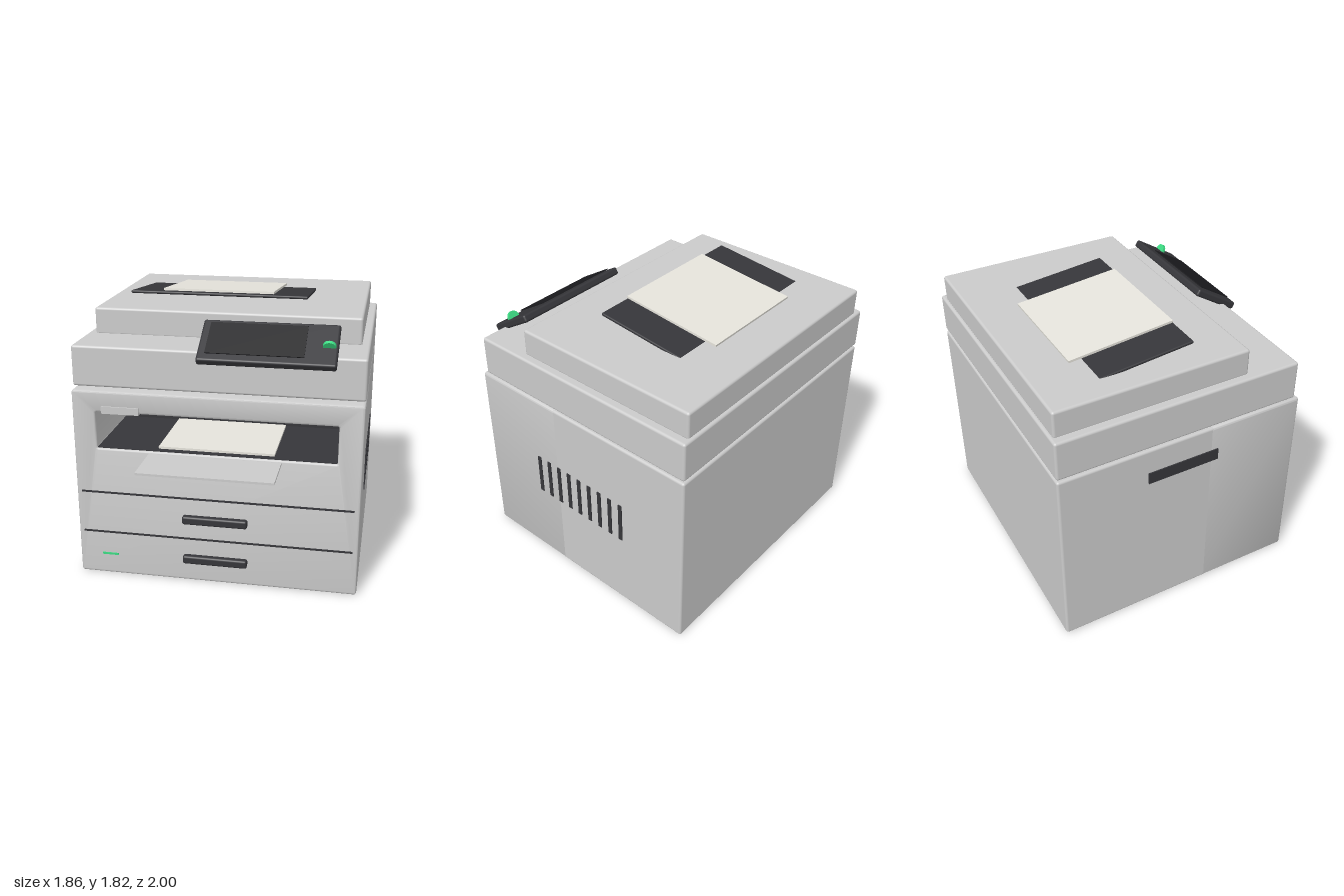
import * as THREE from 'three';
import { toCreasedNormals } from 'three/addons/utils/BufferGeometryUtils.js';
import { RoundedBoxGeometry } from 'three/addons/geometries/RoundedBoxGeometry.js';

const mat = (color) => new THREE.MeshStandardMaterial({ color });

export function createModel() {
  const model = new THREE.Group();
  const grey = mat(0xcccccc), dark = mat(0x36363a), black = mat(0x1c1c1f);
  const paper = mat(0xe6e4dc), green = mat(0x3ddc84);

  const add = (name, geometry, material, x, y, z, parent = model) => {
    const mesh = new THREE.Mesh(geometry, material);
    mesh.name = name;
    mesh.position.set(x, y, z);
    parent.add(mesh);
    return mesh;
  };
  // Box given by its limits on each axis; r rounds the edges
  const box = (name, material, [x0, x1], [y0, y1], [z0, z1], r = 0, parent = model) => {
    const size = [x1 - x0, y1 - y0, z1 - z0];
    const geometry = r ? new RoundedBoxGeometry(...size, 3, r) : new THREE.BoxGeometry(...size);
    return add(name, geometry, material, (x0 + x1) / 2, (y0 + y1) / 2, (z0 + z1) / 2, parent);
  };
  // Rectangle with rounded corners, traced on a Shape or a Path
  const roundRect = (path, x0, x1, y0, y1, r) => {
    path.absarc(x1 - r, y1 - r, r, 0, Math.PI / 2);
    path.absarc(x0 + r, y1 - r, r, Math.PI / 2, Math.PI);
    path.absarc(x0 + r, y0 + r, r, Math.PI, Math.PI * 1.5);
    path.absarc(x1 - r, y0 + r, r, Math.PI * 1.5, Math.PI * 2);
    path.closePath();
    return path;
  };

  // Cabinet: a front frame around the output bay, overlapping a solid rear block
  const bevel = 0.014;
  const frame = roundRect(new THREE.Shape(), -0.925, 0.925, 0, 1.285, 0.018);
  frame.holes.push(roundRect(new THREE.Path(), -0.772, 0.772, 0.9, 1.145, 0.01));
  const frameGeometry = new THREE.ExtrudeGeometry(frame, {
    depth: 0.68 - 2 * bevel, bevelThickness: bevel, bevelSize: bevel,
    bevelOffset: -bevel, bevelSegments: 3, curveSegments: 4,
  });
  add('cabinetFront', toCreasedNormals(frameGeometry, 0.6), grey, 0, 0, bevel);
  box('cabinetRear', grey, [-0.925, 0.925], [0, 1.285], [-1, 0.05], 0.016);

  // Output bay lining and its sheets
  box('bayFloor', dark, [-0.772, 0.772], [0.895, 0.905], [0.05, 0.668]);
  box('bayBack', dark, [-0.772, 0.772], [0.9, 1.145], [0.05, 0.06]);
  box('printedSheets', paper, [-0.375, 0.375], [0.905, 0.92], [0.08, 0.63]);
  box('outputTray', grey, [-0.428, 0.425], [0.872, 0.886], [0.6, 1]);
  box('bayTab', grey, [-0.73, -0.485], [1.14, 1.187], [0.64, 0.69]);

  // Paper drawers: seam above each and a pull handle
  for (const [seam, handle] of [[0.592, 0.448], [0.306, 0.163]]) {
    box('drawerSeam', dark, [-0.89, 0.89], [seam - 0.006, seam + 0.006], [0.66, 0.685]);
    box('drawerHandle', dark, [-0.213, 0.213], [handle - 0.028, handle + 0.028], [0.65, 0.717], 0.014);
  }
  box('statusLight', green, [-0.77, -0.66], [0.138, 0.152], [0.66, 0.685]);

  // Side vents on one side, grip slot on the other
  for (let i = 0; i < 9; i++) {
    const z = 0.2 - i * 0.0885;
    box('sideVent', dark, [0.9, 0.931], [0.54, 0.83], [z - 0.014, z + 0.014]);
  }
  box('sideGrip', dark, [-0.933, -0.9], [1.035, 1.115], [-0.41, 0.08]);

  // Scanner unit and lid
  box('scannerBase', grey, [-0.925, 0.925], [1.3, 1.565], [-1, 0.642], 0.016);
  box('scannerLid', grey, [-0.872, 0.872], [1.555, 1.735], [-0.98, 0.303], 0.016);

  // Feeder tray and its sheet, rising toward the front
  const feeder = new THREE.Group();
  feeder.name = 'feeder';
  feeder.position.set(-0.108, 1.757, -0.302);
  feeder.rotation.x = -0.1;
  model.add(feeder);
  box('feederTray', dark, [-0.603, 0.603], [-0.01, 0.01], [-0.313, 0.313], 0.009, feeder);
  box('feederSheet', paper, [-0.375, 0.375], [0.016, 0.031], [-0.392, 0.308], 0, feeder);

  // Tilted control panel with screen and upright half-disc button
  const panel = new THREE.Group();
  panel.name = 'controlPanel';
  panel.position.set(0.32, 1.61, 0.575);
  panel.rotation.x = 0.56;
  model.add(panel);
  box('panelBody', dark, [-0.425, 0.425], [-0.025, 0.025], [-0.173, 0.173], 0.014, panel);
  box('panelScreen', black, [-0.375, 0.23], [0.031, 0.037], [-0.137, 0.123], 0, panel);
  const button = add('startButton', new THREE.CylinderGeometry(0.04, 0.04, 0.02, 24), green, 0.37, 0.028, 0.018, panel);
  button.rotation.x = Math.PI / 2;

  return model;
}
